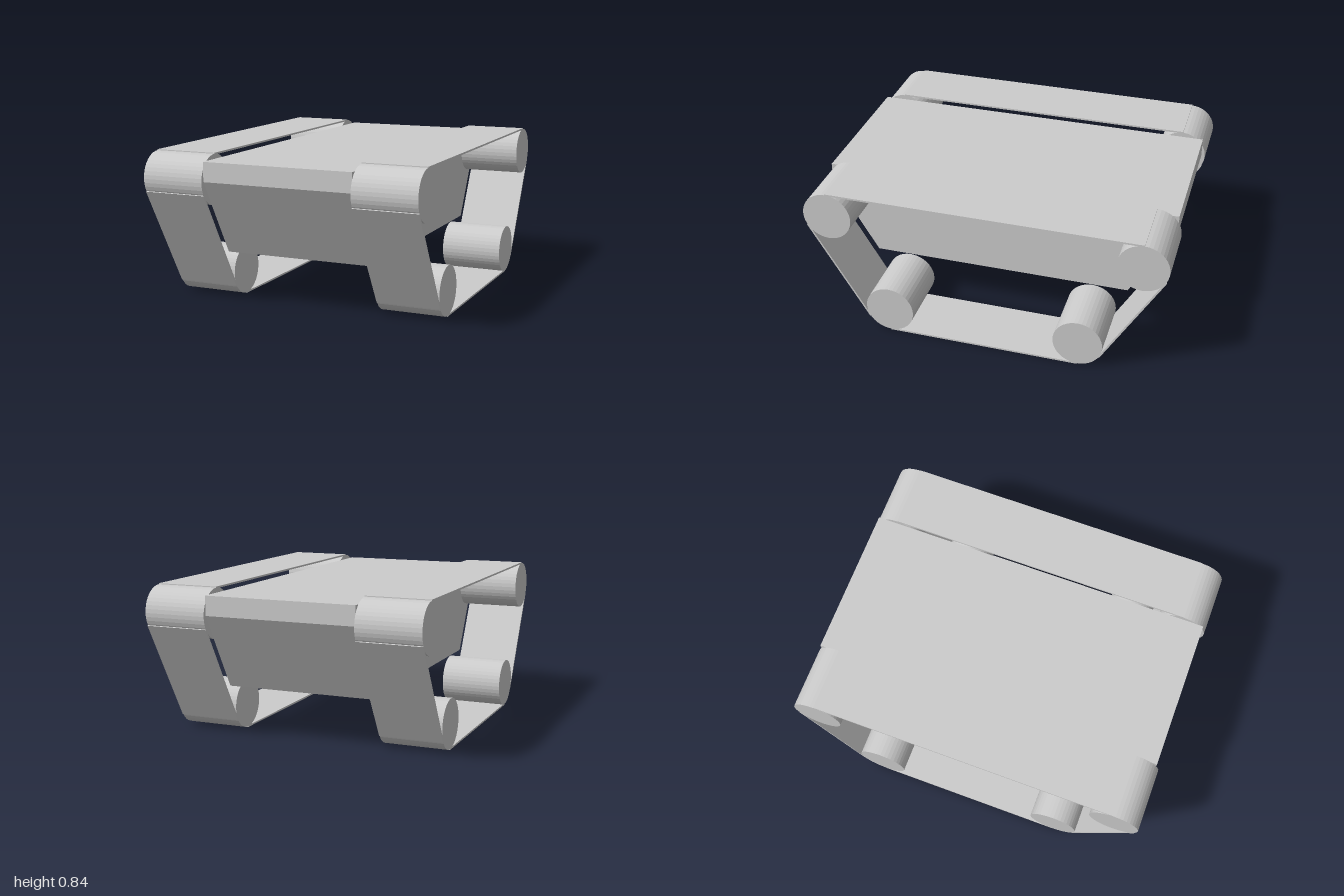
import * as THREE from 'three';

const material = new THREE.MeshStandardMaterial({ color: 0xcccccc, flatShading: true });
const INNER = 0.423, OUTER = 0.777;
const WIDTH = OUTER - INNER;
const RADIUS = 0.137, BELT = 0.01;

// Wheel centres as [z, y], in order around the track
const wheels = [[0.863, 0.702], [0.537, 0.142], [-0.537, 0.142], [-0.863, 0.702]];

function addMesh(parent, name, geometry) {
  const mesh = new THREE.Mesh(geometry, material);
  mesh.name = name;
  parent.add(mesh);
  return mesh;
}

function createTrack(side) {
  const track = new THREE.Group();
  track.name = side > 0 ? 'leftTrack' : 'rightTrack';
  track.position.x = side * (INNER + OUTER) / 2;

  wheels.forEach(([z, y], i) => {
    // Roller across the track
    const wheel = addMesh(track, 'wheel', new THREE.CylinderGeometry(RADIUS, RADIUS, WIDTH, 40));
    wheel.rotation.z = Math.PI / 2;
    wheel.position.set(0, y, z);

    // Straight belt run, tangent to this roller and the next
    const [nz, ny] = wheels[(i + 1) % wheels.length];
    const dz = nz - z, dy = ny - y, length = Math.hypot(dz, dy);
    const run = addMesh(track, 'beltRun', new THREE.BoxGeometry(WIDTH, BELT, length));
    run.position.set(
      0,
      (y + ny) / 2 + (dz / length) * RADIUS,
      (z + nz) / 2 - (dy / length) * RADIUS
    );
    run.rotation.x = Math.atan2(-dy, dz);
  });
  return track;
}

export function createModel() {
  const model = new THREE.Group();
  model.name = 'trackedChassis';

  // Hull: side profile extruded across the width
  const profile = new THREE.Shape([
    [0.98, 0.812], [0.98, 0.705], [0.733, 0.282],
    [-0.733, 0.282], [-0.98, 0.705], [-0.98, 0.812],
  ].map(([z, y]) => new THREE.Vector2(-z, y)));
  const hull = new THREE.ExtrudeGeometry(profile, { depth: 2 * INNER, bevelEnabled: false });
  hull.translate(0, 0, -INNER);
  hull.rotateY(Math.PI / 2);
  addMesh(model, 'hull', hull);

  // Mirrored tracks
  for (const side of [1, -1]) model.add(createTrack(side));
  return model;
}
